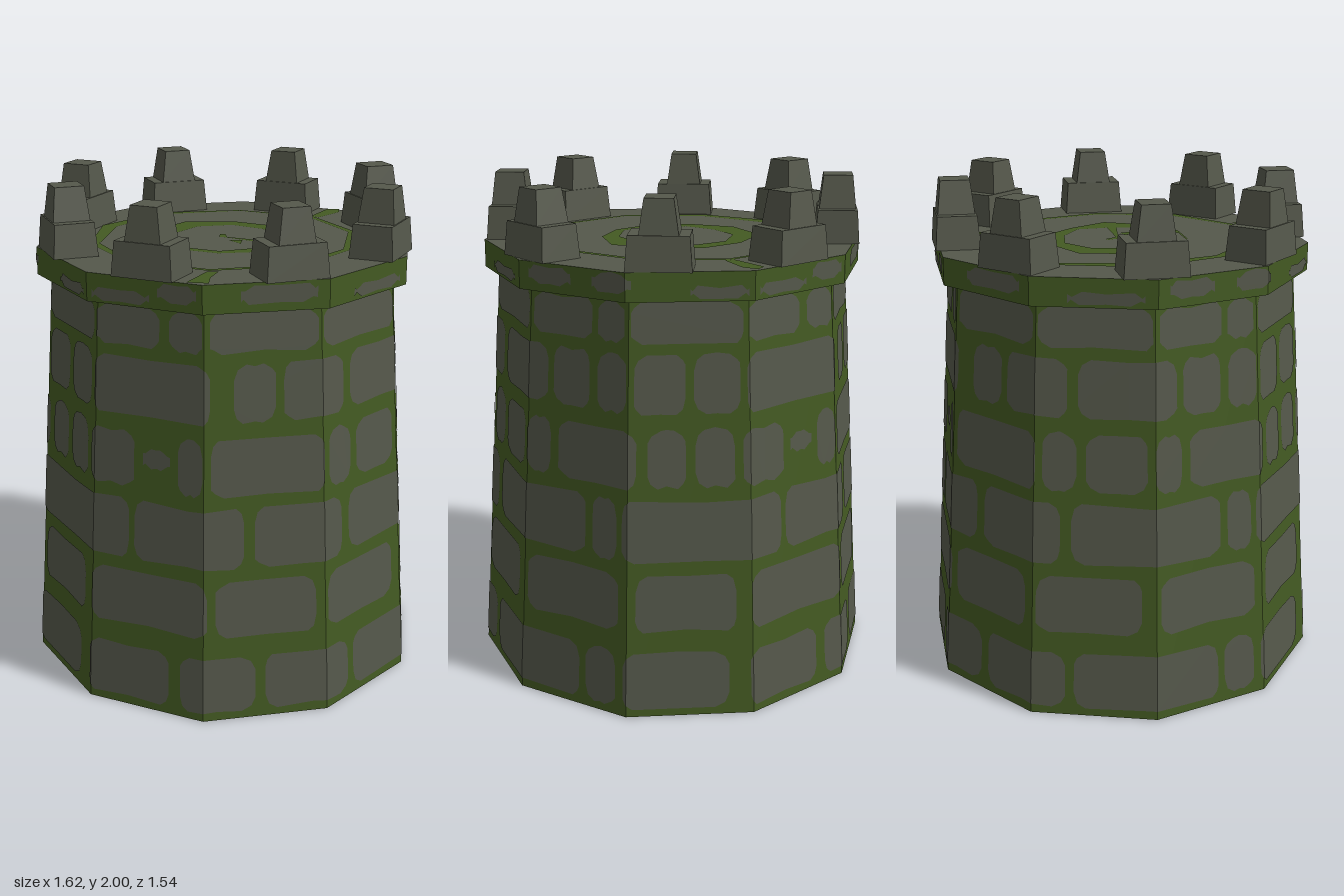
import * as THREE from 'three';
import { mergeGeometries } from 'three/addons/utils/BufferGeometryUtils.js';

const STEP = Math.PI / 5;
const BODY_TOP = 1.63, DECK = 1.74, R_BOTTOM = 0.81, R_TOP = 0.705, R_RIM = 0.76;

function makeRandom(seed) {
  let s = seed;
  return () => (s = (s * 16807) % 2147483647) / 2147483647;
}

// Point on the ten-sided wall: u counts faces rightwards from the front face's left edge
function wallPoint(face, u, y, radiusAt) {
  const r = radiusAt(y) + 0.003, t = u - face;
  const a = (face - 0.5) * STEP, b = a + STEP;
  return [
    r * (Math.sin(a) * (1 - t) + Math.sin(b) * t), y,
    r * (Math.cos(a) * (1 - t) + Math.cos(b) * t),
  ];
}

// Keep the part of an outline on one side of a vertical line
function clip(points, limit, sign) {
  const out = [];
  points.forEach((p, i) => {
    const q = points[(i + 1) % points.length];
    const dp = (p[0] - limit) * sign, dq = (q[0] - limit) * sign;
    if (dp >= 0) out.push(p);
    if (dp * dq < 0) {
      const t = dp / (dp - dq);
      out.push([limit, p[1] + (q[1] - p[1]) * t]);
    }
  });
  return out;
}

// Uneven stone outline with cut corners, counter-clockwise
function stoneOutline(u0, u1, y0, y1, random) {
  const cx = () => Math.min(0.05 + random() * 0.07, (u1 - u0) * 0.35);
  const cy = () => (y1 - y0) * (0.14 + random() * 0.16);
  const wave = () => (random() - 0.5) * 0.025;
  const m = (u0 + u1) / 2, k = [cx(), cx(), cx(), cx()];
  return [
    [u0 + k[0], y0], [m, y0 + Math.abs(wave())], [u1 - k[1], y0], [u1 - k[1] * 0.3, y0 + 0.02], [u1, y0 + cy()],
    [u1, y1 - cy()], [u1 - k[2] * 0.3, y1 - 0.02], [u1 - k[2], y1], [m, y1 + wave()],
    [u0 + k[3], y1], [u0 + k[3] * 0.3, y1 - 0.02], [u0, y1 - cy()], [u0, y0 + cy()], [u0 + k[0] * 0.3, y0 + 0.02],
  ];
}

// Bend a flat stone round the wall, one piece for each face it touches
function stonePieces(outline, radiusAt) {
  const us = outline.map((p) => p[0]);
  const pieces = [];
  for (let f = Math.floor(Math.min(...us)); f < Math.max(...us); f++) {
    const part = clip(clip(outline, f, 1), f + 1, -1);
    if (part.length < 3) continue;
    const g = new THREE.ShapeGeometry(new THREE.Shape(part.map((p) => new THREE.Vector2(...p))));
    const pos = g.attributes.position;
    for (let i = 0; i < pos.count; i++) {
      pos.setXYZ(i, ...wallPoint(f, pos.getX(i), pos.getY(i), radiusAt));
    }
    g.computeVertexNormals();
    pieces.push(g);
  }
  return pieces;
}

// Courses of stones as [bottom, top, [start, end] ...]; each repeats on the far half
function course([y0, y1, ...spans], radiusAt, random) {
  const pieces = [];
  for (const [a, b] of spans) {
    const outline = stoneOutline(a, b, y0, y1, random);
    for (const turn of [0, 5]) {
      pieces.push(...stonePieces(outline.map(([u, y]) => [u + turn, y]), radiusAt));
    }
  }
  return mergeGeometries(pieces);
}

const COURSES = [
  [0.03, 0.26, [-0.02, 0.7], [0.8, 1.42], [1.5, 2.27], [2.34, 3.56], [3.62, 3.9], [3.97, 4.81]],
  [0.345, 0.575, [0, 1.03], [1.1, 1.92], [2.03, 2.88], [3.04, 3.92], [4.07, 4.87]],
  [0.625, 0.87, [-1.05, 0.33], [0.38, 1.33], [1.42, 2.22], [2.31, 3.6], [3.67, 3.9]],
  [0.915, 1.14, [-0.06, 0.37], [0.77, 0.99], [1.06, 2.01], [2.07, 2.35], [2.43, 2.93], [3, 3.24], [3.32, 4.07], [4.16, 4.47], [4.55, 4.87]],
  [1.2, 1.425, [-0.02, 1.05], [1.25, 1.6], [1.67, 2.27], [2.36, 3.2], [3.26, 3.62], [3.7, 3.98], [4.05, 4.47], [4.54, 4.92]],
  [1.465, 1.62, [0, 0.59], [0.68, 0.98], [1.05, 1.97], [2.02, 2.98], [3.04, 3.64], [3.7, 3.96], [4.02, 4.95]],
  [1.0, 1.08, [0.45, 0.7]],
];
const RIM_CHIPS = [
  [1.64, 1.69, [0.05, 0.55], [2.3, 2.9], [4.5, 4.95]],
  [1.66, 1.73, [0.62, 0.95], [1.3, 1.9], [3.1, 3.5], [3.7, 4.05]],
];

// Ten-sided band from radii at its corners
function bandGeometry(inner, outer) {
  const ring = (radii) => radii.map((r, i) => new THREE.Vector2(r * Math.cos(i * STEP), r * Math.sin(i * STEP)));
  const shape = new THREE.Shape(ring(outer));
  shape.holes.push(new THREE.Path(ring(inner)));
  return new THREE.ShapeGeometry(shape);
}

// Moss rings and patches for a horizontal face
function mossGeometry() {
  const patch = (...pts) => new THREE.ShapeGeometry(new THREE.Shape(pts.map((p) => new THREE.Vector2(...p))));
  return mergeGeometries([
    bandGeometry([0.5, 0.51, 0.53, 0.535, 0.53, 0.5, 0.51, 0.535, 0.535, 0.52],
      [0.53, 0.54, 0.555, 0.55, 0.57, 0.565, 0.55, 0.555, 0.56, 0.56]),
    bandGeometry([0.2, 0.23, 0.22, 0.24, 0.24, 0.22, 0.23, 0.24, 0.24, 0.22],
      [0.32, 0.27, 0.3, 0.31, 0.35, 0.33, 0.29, 0.28, 0.28, 0.29]),
    patch([0, 0], [0.2, -0.03], [0.2, 0.01], [0, 0.01], [-0.03, 0.06], [-0.05, 0.05], [-0.03, 0]),
    patch([0.03, -0.04], [0.1, -0.08], [0.08, -0.02]),
    patch([0.16, 0.53], [0.2, 0.52], [0.24, 0.66], [0.22, 0.72], [0.17, 0.7]),
    patch([0.17, -0.72], [0.25, -0.7], [0.22, -0.62], [0.21, -0.53], [0.17, -0.54]),
  ]);
}

// Block narrowing towards the top, standing on y = 0
function taperedBlock(w, d, h, topW, topD) {
  const g = new THREE.BoxGeometry(w, h, d).translate(0, h / 2, 0);
  const pos = g.attributes.position;
  for (let i = 0; i < pos.count; i++) {
    if (pos.getY(i) > h / 2) pos.setXYZ(i, pos.getX(i) * topW / w, h, pos.getZ(i) * topD / d);
  }
  g.computeVertexNormals();
  return g;
}

export function createModel() {
  const model = new THREE.Group();
  model.name = 'stoneTower';
  const stone = new THREE.MeshStandardMaterial({ color: 0x55584b, flatShading: true });
  stone.name = 'grey stone';
  const moss = new THREE.MeshStandardMaterial({ color: 0x435a22, flatShading: true });
  moss.name = 'green moss';
  const random = makeRandom(71);

  const add = (name, geometry, material, parent = model) => {
    const mesh = new THREE.Mesh(geometry, material);
    mesh.name = name;
    parent.add(mesh);
    return mesh;
  };

  // Tapered wall and overhanging rim: mossy sides, stone ends
  const drum = (top, bottom, y0, y1) =>
    new THREE.CylinderGeometry(top, bottom, y1 - y0, 10, 1, false, STEP / 2).translate(0, (y0 + y1) / 2, 0);
  add('towerWall', drum(R_TOP, R_BOTTOM, 0, BODY_TOP), [moss, stone, stone]);
  add('rim', drum(R_RIM, R_RIM, BODY_TOP, DECK), [moss, stone, stone]);

  // Stone faces on the wall and rim
  const wallRadius = (y) => R_BOTTOM + (R_TOP - R_BOTTOM) * y / BODY_TOP;
  COURSES.forEach((c, i) => add(`stoneCourse${i + 1}`, course(c, wallRadius, random), stone));
  RIM_CHIPS.forEach((c, i) => add(`rimStones${i + 1}`, course(c, () => R_RIM, random), stone));

  // Moss on the deck and underneath
  add('deckMoss', mossGeometry().rotateX(-Math.PI / 2).translate(0, DECK + 0.003, 0), moss);
  add('baseMoss', mossGeometry().rotateX(Math.PI / 2).translate(0, -0.002, 0), moss);

  // Eight two-step battlements around the rim
  const lower = taperedBlock(0.245, 0.175, 0.13, 0.225, 0.155);
  const upper = taperedBlock(0.145, 0.145, 0.13, 0.108, 0.115);
  for (let i = 0; i < 8; i++) {
    const a = i * Math.PI / 4;
    const battlement = new THREE.Group();
    battlement.name = `battlement${i + 1}`;
    add('lowerBlock', lower, stone, battlement);
    add('upperBlock', upper, stone, battlement).position.y = 0.13;
    battlement.position.set(0.653 * Math.sin(a), DECK, 0.653 * Math.cos(a));
    battlement.rotation.y = a;
    model.add(battlement);
  }
  return model;
}
